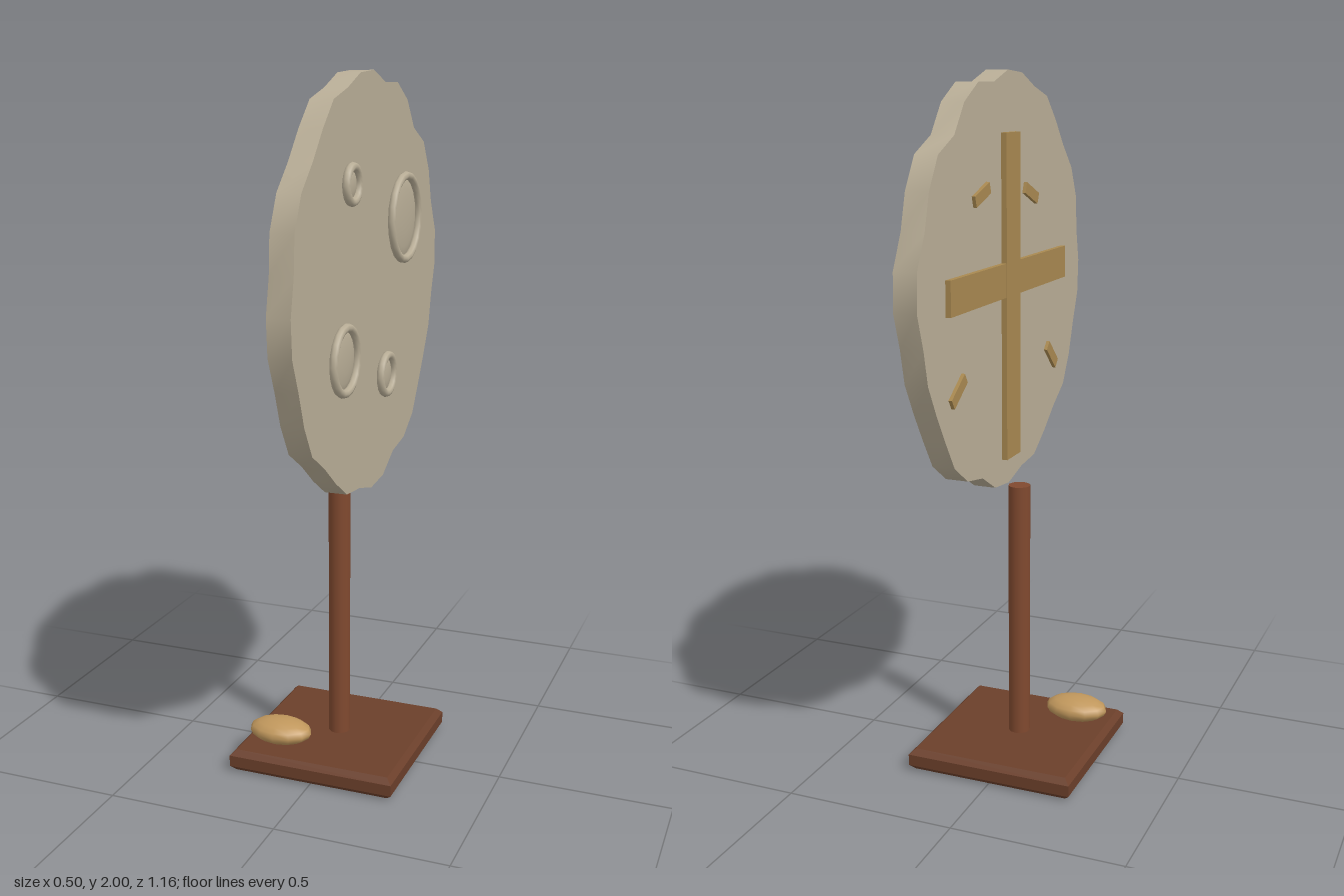
import * as THREE from 'three';
import { toCreasedNormals } from 'three/addons/utils/BufferGeometryUtils.js';

const material = (color) => new THREE.MeshStandardMaterial({ color });
const stone = material(0xb8ad96);
const darkWood = material(0x6b3f2a);
const postWood = material(0x80492f);
const paleWood = material(0xa88850);
const loafTan = material(0xc0975c);

function add(parent, name, geometry, mat, x = 0, y = 0, z = 0) {
  const mesh = new THREE.Mesh(geometry, mat);
  mesh.name = name;
  mesh.position.set(x, y, z);
  parent.add(mesh);
  return mesh;
}

// Square slab with a single chamfer all round
function chamferedSlab(size, height, bevel) {
  const h = size / 2 - bevel;
  const shape = new THREE.Shape([[-h, -h], [h, -h], [h, h], [-h, h]].map(([x, y]) => new THREE.Vector2(x, y)));
  const geo = new THREE.ExtrudeGeometry(shape, {
    depth: height - 2 * bevel, bevelThickness: bevel, bevelSize: bevel, bevelSegments: 1,
  });
  return geo.rotateX(-Math.PI / 2).translate(0, bevel, 0);
}

// Uneven round slab: one radius every ten degrees
function unevenDisc(depth) {
  const radii = [
    0.578, 0.583, 0.562, 0.578, 0.583, 0.546, 0.576, 0.583, 0.557, 0.58, 0.582, 0.57,
    0.587, 0.572, 0.565, 0.585, 0.586, 0.566, 0.578, 0.58, 0.566, 0.575, 0.583, 0.561,
    0.566, 0.58, 0.563, 0.58, 0.578, 0.551, 0.577, 0.578, 0.557, 0.551, 0.557, 0.554,
  ];
  const points = radii.map((r, i) => {
    const a = (i / radii.length) * Math.PI * 2;
    return new THREE.Vector2(r * Math.cos(a), r * Math.sin(a));
  });
  const geo = new THREE.ExtrudeGeometry(new THREE.Shape(points), { depth, bevelEnabled: false });
  return toCreasedNormals(geo, 0.6);
}

// Raised ring around a shallow dome
function crater(parent, x, y, radius, z) {
  const group = new THREE.Group();
  group.name = 'crater';
  group.position.set(x, y, z);
  const tube = 0.012;
  add(group, 'craterRim', new THREE.TorusGeometry(radius - tube, tube, 8, 20), stone, 0, 0, 0.012);
  const dome = new THREE.SphereGeometry(radius - tube, 20, 4, 0, Math.PI * 2, 0, Math.PI / 2);
  dome.rotateX(Math.PI / 2).scale(1, 1, 0.015 / (radius - tube));
  add(group, 'craterFloor', dome, stone);
  parent.add(group);
}

export function createModel() {
  const model = new THREE.Group();
  model.name = 'moonProp';

  // Stand
  add(model, 'base', chamferedSlab(0.5, 0.065, 0.016), darkWood);
  add(model, 'post', new THREE.CylinderGeometry(0.032, 0.032, 0.785, 12), postWood, 0, 0.443, 0);

  // Small loaf-shaped stone on the base
  const pebble = new THREE.SphereGeometry(1, 12, 8).scale(0.096, 0.036, 0.066);
  add(model, 'pebble', pebble, loafTan, -0.135, 0.1, 0.135);

  // Disc group: its own z runs along the model's +x
  const disc = new THREE.Group();
  disc.name = 'discAssembly';
  disc.rotation.y = Math.PI / 2;
  model.add(disc);
  add(disc, 'disc', unevenDisc(0.065), stone, 0, 1.42, 0.033);

  for (const [x, y, r] of [[-0.19, 1.712, 0.058], [0.245, 1.588, 0.132], [-0.24, 1.256, 0.1], [0.095, 1.155, 0.067]]) {
    crater(disc, x, y, r, 0.098);
  }

  // Crossed braces and short splints on the plain face
  add(disc, 'uprightBrace', new THREE.BoxGeometry(0.1, 0.915, 0.017), paleWood, 0, 1.378, 0.0255);
  add(disc, 'crossBrace', new THREE.BoxGeometry(0.83, 0.095, 0.016), paleWood, 0, 1.435, 0.026);
  for (const [x, y, tilt] of [[-0.155, 1.66, 0.38], [0.195, 1.68, -0.32], [0.355, 1.184, -0.59], [-0.325, 1.16, 0.75]]) {
    const splint = add(disc, 'splint', new THREE.BoxGeometry(0.1, 0.032, 0.012), paleWood, x, y, 0.029);
    splint.rotation.z = tilt;
  }
  return model;
}
